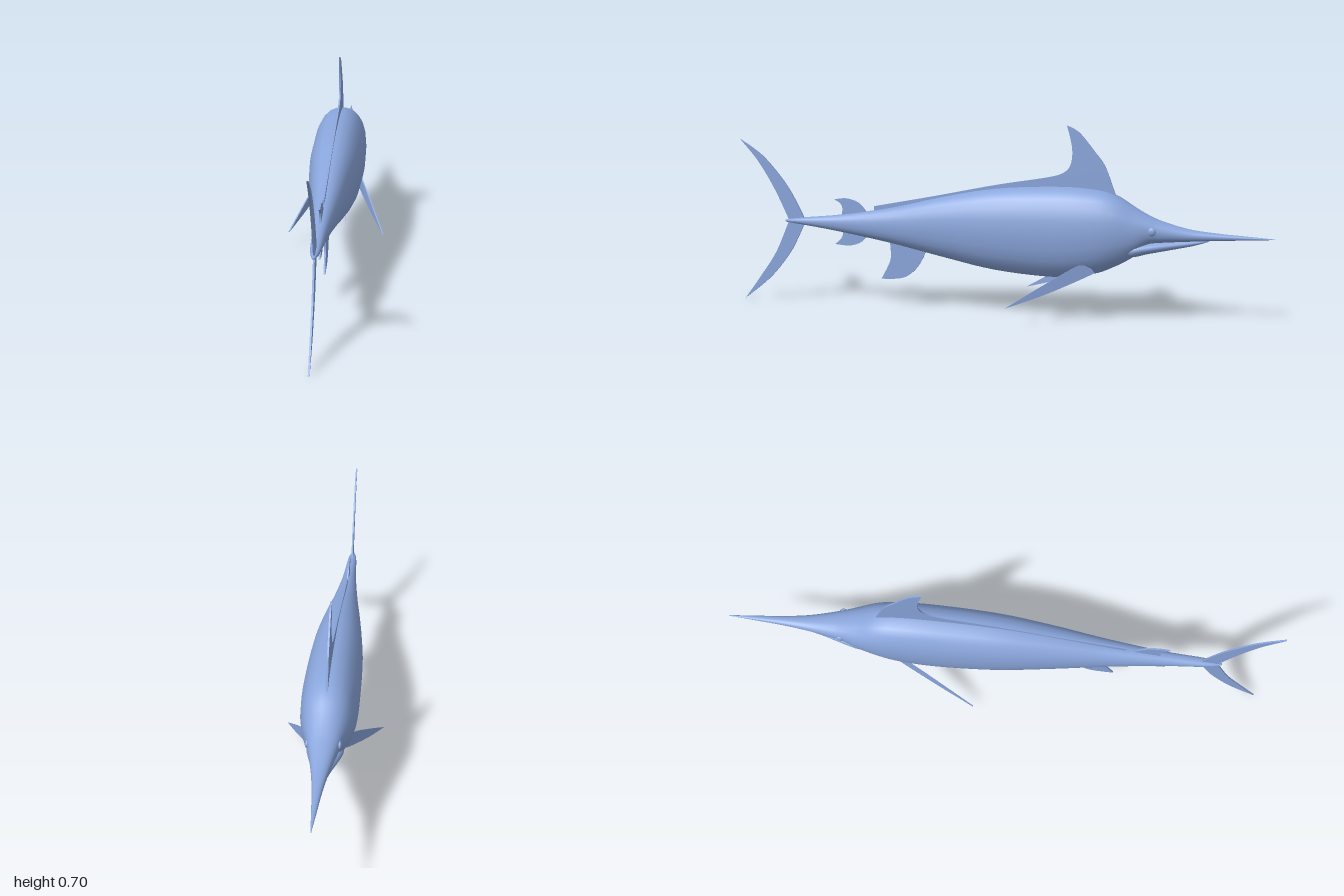
import * as THREE from 'three';

const blue = new THREE.MeshStandardMaterial({ color: 0x8aa6dc });
blue.name = 'steel blue';

// Smooth skin over rounded sections; each station is [z, top y, bottom y, half width]
function loft(stations, rings, sides = 22) {
  const zCurve = new THREE.SplineCurve(stations.map((s, i) => new THREE.Vector2(i, s[0])));
  const sizes = new THREE.SplineCurve(stations.map((s) => new THREE.Vector2(s[1], s[2])));
  const widths = new THREE.SplineCurve(stations.map((s, i) => new THREE.Vector2(i, s[3])));
  const pos = [], index = [];
  const bulge = (v) => Math.sign(v) * Math.pow(Math.abs(v), 0.9);
  for (let i = 0; i <= rings; i++) {
    const t = i / rings;
    const z = zCurve.getPoint(t).y, w = widths.getPoint(t).y;
    const { x: top, y: bottom } = sizes.getPoint(t);
    for (let j = 0; j < sides; j++) {
      const a = (j / sides) * Math.PI * 2;
      pos.push(w * bulge(Math.cos(a)), (top + bottom) / 2 + ((top - bottom) / 2) * bulge(Math.sin(a)), z);
      if (i < rings) {
        const k = (j + 1) % sides, p = i * sides, q = p + sides;
        index.push(p + j, p + k, q + j, p + k, q + k, q + j);
      }
    }
  }
  const g = new THREE.BufferGeometry();
  g.setAttribute('position', new THREE.Float32BufferAttribute(pos, 3));
  g.setIndex(index);
  g.computeVertexNormals();
  return g;
}

// Thin plate in the z-y plane; every edge is a smooth curve through [z, y] points
function finPlate(edges, thickness = 0.006) {
  const shape = new THREE.Shape();
  shape.moveTo(...edges[0][0]);
  edges.forEach((edge, i) => {
    const pts = (i ? edge : edge.slice(1)).map((p) => new THREE.Vector2(...p));
    if (pts.length === 1) shape.lineTo(pts[0].x, pts[0].y);
    else shape.splineThru(pts);
  });
  const g = new THREE.ExtrudeGeometry(shape, { depth: thickness, bevelEnabled: false, curveSegments: 5 });
  g.translate(0, 0, -thickness / 2);
  g.rotateY(-Math.PI / 2);
  return g;
}

// Splay a plate sideways as it runs back
function splay(g, x0, z0, slope, side) {
  const p = g.attributes.position;
  for (let i = 0; i < p.count; i++) p.setX(i, p.getX(i) + side * (x0 + slope * (p.getZ(i) - z0)));
  g.computeVertexNormals();
  return g;
}

export function createModel() {
  const model = new THREE.Group();
  model.name = 'billfish';
  const add = (name, geometry) => {
    const mesh = new THREE.Mesh(geometry, blue);
    mesh.name = name;
    model.add(mesh);
    return mesh;
  };

  // Body with the long upper bill
  add('body', loft([
    [-1, 0.32, 0.318, 0.001],
    [-0.9, 0.326, 0.312, 0.009],
    [-0.8, 0.332, 0.306, 0.017],
    [-0.7, 0.343, 0.299, 0.03],
    [-0.61, 0.366, 0.291, 0.048],
    [-0.56, 0.386, 0.28, 0.06],
    [-0.51, 0.413, 0.238, 0.075],
    [-0.44, 0.455, 0.197, 0.09],
    [-0.36, 0.475, 0.166, 0.098],
    [-0.22, 0.48, 0.148, 0.1],
    [0, 0.465, 0.163, 0.093],
    [0.2, 0.427, 0.201, 0.073],
    [0.4, 0.378, 0.243, 0.048],
    [0.6, 0.343, 0.277, 0.027],
    [0.76, 0.325, 0.299, 0.017],
    [0.82, 0.316, 0.306, 0.006],
    [0.825, 0.312, 0.31, 0.001],
  ], 80));

  // Short lower jaw under the bill
  add('lowerJaw', loft([
    [-0.775, 0.305, 0.303, 0.001],
    [-0.72, 0.303, 0.285, 0.015],
    [-0.64, 0.3, 0.267, 0.033],
    [-0.56, 0.295, 0.25, 0.054],
    [-0.5, 0.29, 0.236, 0.062],
    [-0.45, 0.27, 0.25, 0.03],
  ], 24));

  // Tall dorsal fin running back into a low ridge
  add('dorsalFin', finPlate([
    [[-0.44, 0.45], [-0.4, 0.555], [-0.36, 0.61], [-0.305, 0.675], [-0.26, 0.7]],
    [[-0.279, 0.62], [-0.274, 0.56], [-0.245, 0.528], [-0.18, 0.509], [0, 0.477], [0.245, 0.425], [0.47, 0.38]],
    [[0.47, 0.355]],
    [[0.2, 0.41], [0, 0.44], [-0.2, 0.45]],
  ]));

  // Small finlets above and below the tail stalk
  add('upperFinlet', finPlate([
    [[0.5, 0.34], [0.505, 0.362], [0.535, 0.392], [0.58, 0.405], [0.627, 0.4]],
    [[0.603, 0.385], [0.595, 0.365], [0.6, 0.335]],
  ]));
  add('lowerFinlet', finPlate([
    [[0.5, 0.28], [0.5, 0.265], [0.525, 0.24], [0.567, 0.226], [0.627, 0.229]],
    [[0.603, 0.25], [0.595, 0.27], [0.6, 0.29]],
  ]));

  // Anal fin
  add('analFin', finPlate([
    [[0.27, 0.23], [0.277, 0.2], [0.31, 0.147], [0.36, 0.112], [0.445, 0.104]],
    [[0.42, 0.15], [0.406, 0.19], [0.41, 0.26]],
  ]));

  // Crescent tail lobes
  add('upperTailLobe', finPlate([
    [[0.745, 0.312], [0.775, 0.375], [0.825, 0.458], [0.91, 0.555], [1, 0.617]],
    [[0.93, 0.535], [0.866, 0.43], [0.81, 0.312]],
  ]));
  add('lowerTailLobe', finPlate([
    [[0.745, 0.314], [0.775, 0.25], [0.815, 0.18], [0.895, 0.085], [1, 0]],
    [[0.93, 0.095], [0.866, 0.19], [0.81, 0.314]],
  ]));

  // Paired fins and eyes
  for (const [side, label] of [[1, 'left'], [-1, 'right']]) {
    add(label + 'PectoralFin', splay(finPlate([
      [[-0.375, 0.18], [-0.355, 0.203], [-0.315, 0.206], [-0.2, 0.14], [-0.085, 0.068]],
      [[-0.075, 0.062]],
      [[-0.2, 0.104], [-0.31, 0.15], [-0.375, 0.18]],
    ], 0.005), 0.06, -0.37, 0.4, side));
    add(label + 'PelvicFin', splay(finPlate([
      [[-0.34, 0.155], [-0.27, 0.158], [-0.165, 0.08]],
      [[-0.24, 0.108], [-0.34, 0.155]],
    ], 0.004), 0.017, -0.3, 0.1, side));
    const eye = add(label + 'Eye', new THREE.SphereGeometry(0.015, 16, 10));
    eye.scale.x = 0.5;
    eye.position.set(side * 0.054, 0.337, -0.575);
  }
  return model;
}
